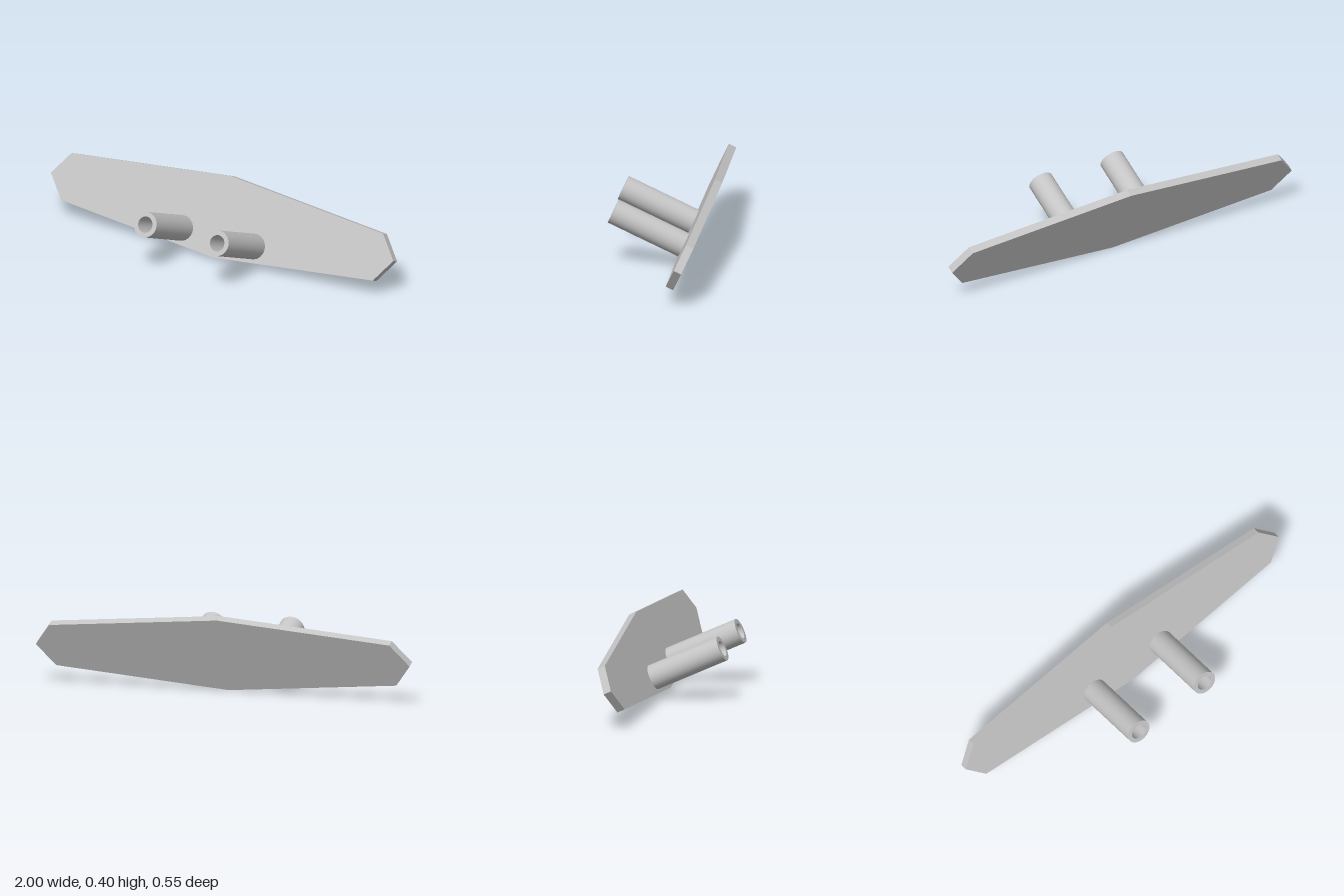
import * as THREE from 'three';
import { mergeGeometries } from 'three/addons/utils/BufferGeometryUtils.js';

const TILT = THREE.MathUtils.degToRad(-24.9);
const THICKNESS = 0.041;

// Hollow tube along +z: smooth outer wall, flat rim, smooth bore
function tubeGeometry(outer, inner, length) {
  const profile = [[outer, 0], [outer, length], [inner, length], [inner, 0]]
    .map(([r, y]) => new THREE.Vector2(r, y));
  const walls = [0, 1, 2].map(i => new THREE.LatheGeometry(profile.slice(i, i + 2), 48));
  return mergeGeometries(walls).rotateX(Math.PI / 2);
}

export function createModel() {
  const metal = new THREE.MeshStandardMaterial({ color: 0xc4c4c4 });
  metal.name = 'light grey metal';

  const model = new THREE.Group();
  model.name = 'tiltedPlateWithTubes';

  // Everything is built upright around the plate's front face, then leaned back
  const assembly = new THREE.Group();
  assembly.name = 'tiltedAssembly';
  assembly.position.set(0, 0.21, -0.15);
  assembly.rotation.x = TILT;
  model.add(assembly);

  // Eight-sided plate
  const outline = [
    [0, -0.21], [0.91, -0.121], [1, 0], [0.91, 0.121],
    [0, 0.21], [-0.91, 0.121], [-1, 0], [-0.91, -0.121],
  ].map(([x, y]) => new THREE.Vector2(x, y));
  const plate = new THREE.Mesh(
    new THREE.ExtrudeGeometry(new THREE.Shape(outline), { depth: THICKNESS, bevelEnabled: false }),
    metal
  );
  plate.name = 'plate';
  plate.position.z = -THICKNESS;
  assembly.add(plate);

  // Pair of tubes standing square to the plate
  const tube = tubeGeometry(0.0645, 0.041, 0.392);
  for (const [name, side] of [['leftTube', 1], ['rightTube', -1]]) {
    const mesh = new THREE.Mesh(tube, metal);
    mesh.name = name;
    mesh.position.set(side * 0.21, -0.105, 0);
    assembly.add(mesh);
  }

  return model;
}
